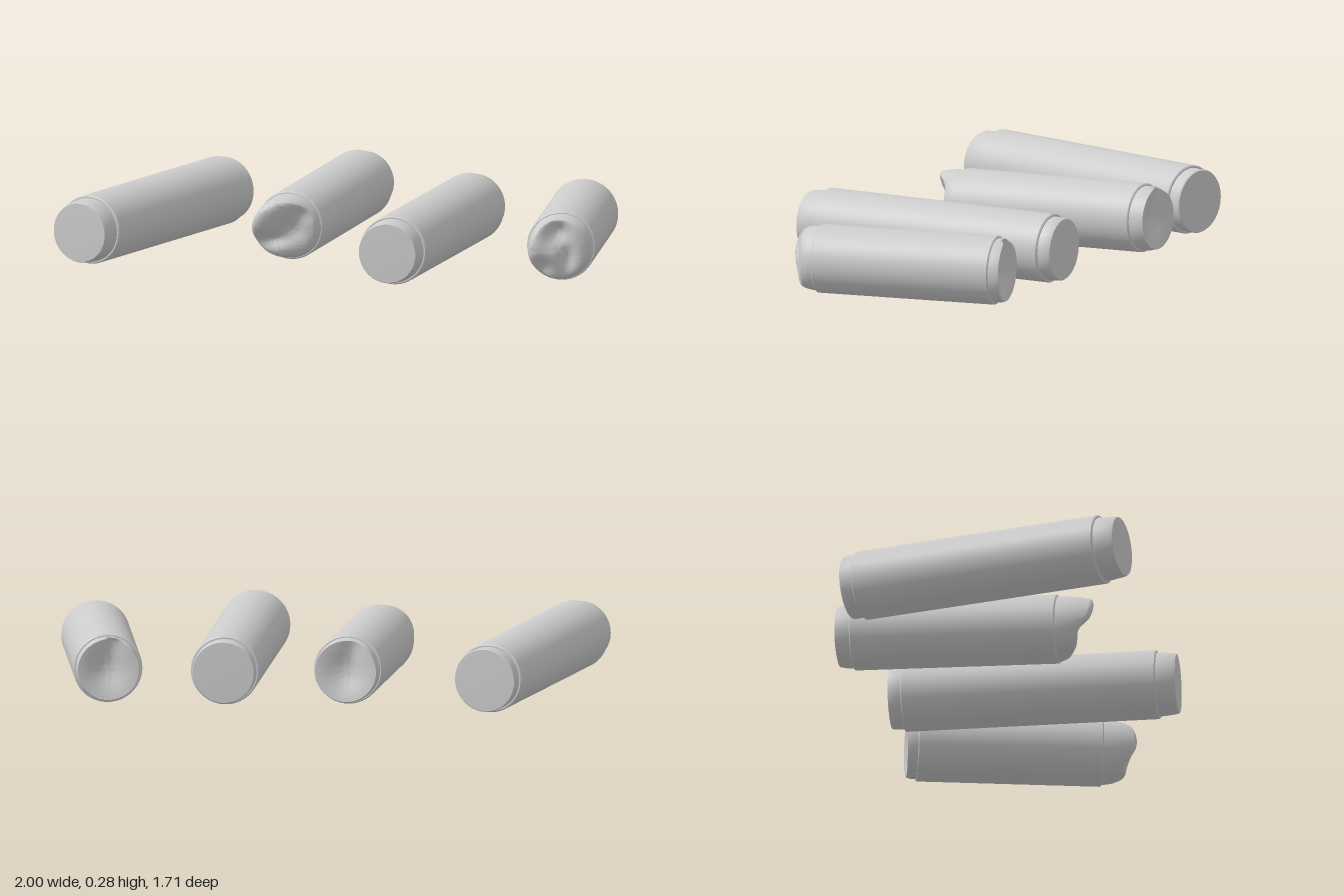
import * as THREE from 'three';
import { toCreasedNormals } from 'three/addons/utils/BufferGeometryUtils.js';

const R = 0.124;
const material = new THREE.MeshStandardMaterial({ color: 0xcccccc });

// Turned part along +z; profile is [radius, z] pairs, rule may move each vertex
function turned(name, profile, rule) {
  const pts = profile.map(([r, z]) => new THREE.Vector2(r, z));
  const geo = new THREE.LatheGeometry(pts, 64).rotateX(Math.PI / 2);
  if (rule) {
    const pos = geo.attributes.position;
    const v = new THREE.Vector3();
    for (let i = 0; i < pos.count; i++) {
      v.fromBufferAttribute(pos, i);
      rule(v);
      pos.setXYZ(i, v.x, v.y, v.z);
    }
  }
  const mesh = new THREE.Mesh(toCreasedNormals(geo, 0.6), material);
  mesh.name = name;
  return mesh;
}

const bump = (x, y, w, h) => Math.exp(-((x / w) ** 2) - (y / h) ** 2);

// Intact stepped end: a short collar with a flat disc
function flatCap(name, length, rEnd) {
  return turned(name, [
    [0.115, -0.01], [0.114, length * 0.3], [rEnd + 0.003, length * 0.9],
    [rEnd, length], [0, length + 0.003],
  ]);
}

// Flat end with a hollow pushed into its disc and a notch at the top
function dentedCap(name, length, notchX) {
  const profile = [[0.116, -0.01], [0.115, length * 0.5], [0.11, length]];
  for (let i = 1; i <= 10; i++) profile.push([0.11 * (1 - i / 10), length]);
  return turned(name, profile, (v) => {
    if (v.z < length * 0.9) return;
    v.z -= 0.035 * bump(v.x, v.y, 0.07, 0.08);
    v.z -= 0.02 * bump(v.x - notchX, v.y - 0.1, 0.04, 0.06);
  });
}

// Crushed end: a dome stretched to a lip on one side and folded inward
function crushedCap(name, lipX, lipY, dents) {
  const profile = [[0.117, -0.01], [0.117, 0.01], [0.115, 0.03], [0.111, 0.055]];
  for (let i = 0; i <= 14; i++) {
    const a = (i / 14) * Math.PI / 2;
    profile.push([0.106 * Math.cos(a), 0.07 + 0.03 * Math.sin(a)]);
  }
  return turned(name, profile, (v) => {
    if (v.z <= 0) return;
    const k = v.z / 0.1;
    v.z *= 1 + lipX * v.x + lipY * v.y;
    for (const [x, y, w, h, depth] of dents) {
      v.z -= depth * k * bump(v.x - x, v.y - y, w, h);
    }
    v.z = Math.max(v.z, 0.004);
  });
}

// One tube: body between two axis points, plus its front and back ends
function tube(name, back, front, frontCap, backCap) {
  const b = new THREE.Vector3(...back);
  const f = new THREE.Vector3(...front);
  const h = b.distanceTo(f) / 2;
  const group = new THREE.Group();
  group.name = name;
  group.position.copy(b).add(f).multiplyScalar(0.5);
  group.lookAt(f);
  group.add(turned('body', [
    [0, -h], [R - 0.004, -h], [R, -h + 0.004], [R, h - 0.004], [R - 0.004, h], [0, h],
  ]));
  frontCap.position.z = h;
  backCap.position.z = -h;
  backCap.rotation.y = Math.PI;
  group.add(frontCap, backCap);
  return group;
}

export function createModel() {
  const model = new THREE.Group();
  model.name = 'tubes';

  // Two intact tubes
  model.add(tube('farTube', [-0.147, 0.125, -0.746], [-0.885, 0.125, -0.2],
    flatCap('frontCap', 0.072, 0.106), flatCap('backCap', 0.047, 0.112)));
  model.add(tube('middleTube', [0.556, 0.125, -0.094], [-0.043, 0.125, 0.604],
    flatCap('frontCap', 0.07, 0.106), flatCap('backCap', 0.047, 0.11)));

  // Two spent tubes with crushed fronts and dented backs
  model.add(tube('raisedTube', [0.289, 0.162, -0.489], [-0.214, 0.137, 0.06],
    crushedCap('crushedFront', -5, 3.5, [
      [0.02, 0.0, 0.06, 0.05, 0.045], [-0.05, -0.04, 0.05, 0.03, 0.04], [0.06, 0.06, 0.05, 0.04, 0.035],
    ]),
    dentedCap('dentedBack', 0.057, 0.03)));
  model.add(tube('shortTube', [0.88, 0.125, 0.176], [0.548, 0.125, 0.754],
    crushedCap('crushedFront', -4.5, 0, [
      [-0.01, 0.06, 0.045, 0.05, 0.06], [0.03, -0.03, 0.03, 0.06, 0.035], [-0.06, -0.07, 0.04, 0.04, 0.03],
    ]),
    dentedCap('dentedBack', 0.04, 0.02)));

  return model;
}
